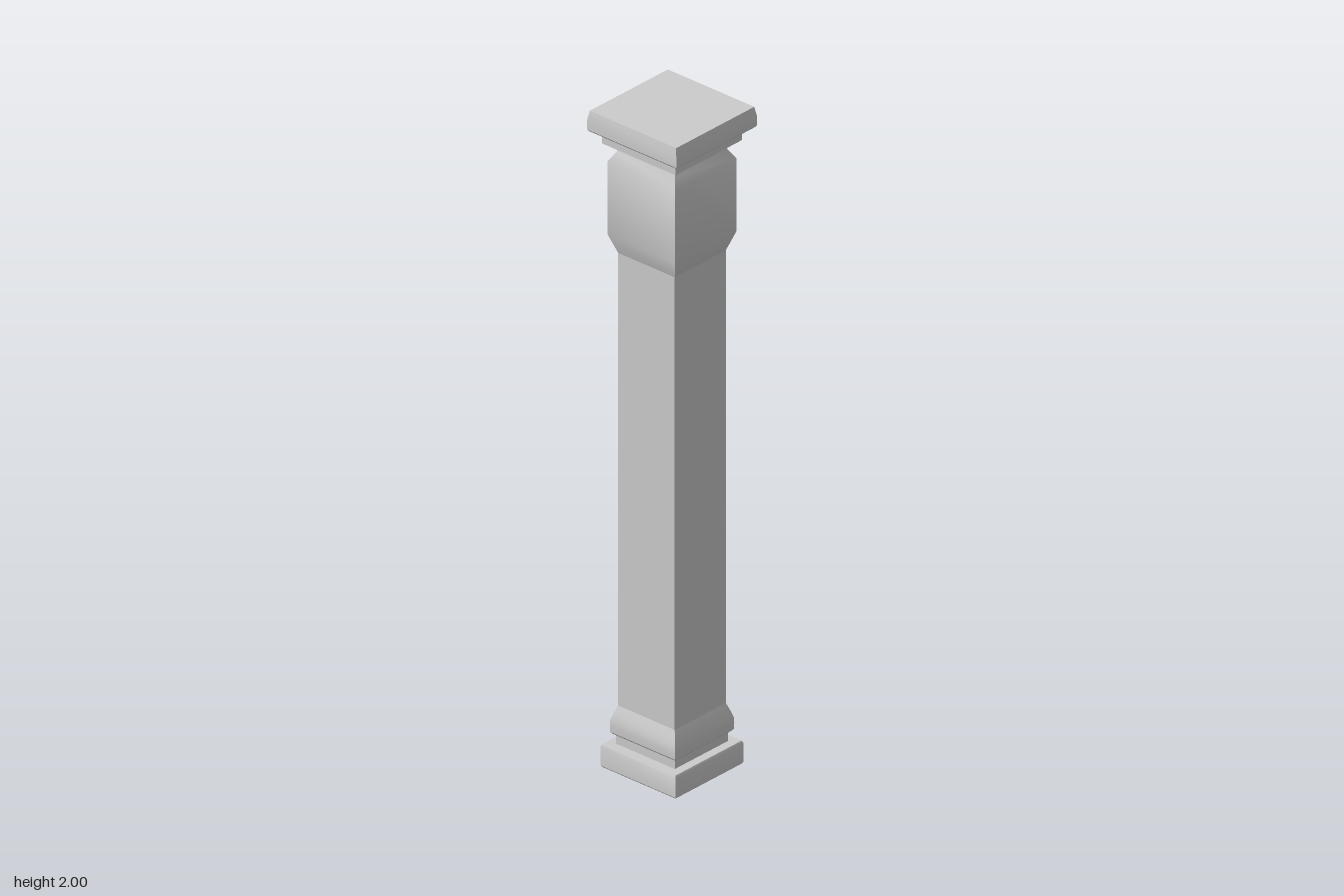
import * as THREE from 'three';
import { toCreasedNormals } from 'three/addons/utils/BufferGeometryUtils.js';

const material = new THREE.MeshStandardMaterial({ color: 0xcccccc });

// Sweeps a [half width, height] profile around a square plan, closed at both ends.
function squareProfile(name, profile) {
  const closed = [[0, profile[0][1]], ...profile, [0, profile[profile.length - 1][1]]];
  const points = closed.map(([w, y]) => new THREE.Vector2(w * Math.SQRT2, y));
  const geometry = new THREE.LatheGeometry(points, 4, Math.PI / 4);
  const mesh = new THREE.Mesh(toCreasedNormals(geometry, 0.6), material);
  mesh.name = name;
  return mesh;
}

export function createModel() {
  const column = new THREE.Group();
  column.name = 'column';
  column.add(
    // Foot block with slightly eased edges
    squareProfile('plinth', [[0.132, 0], [0.135, 0.004], [0.135, 0.064], [0.132, 0.07]]),
    // Recessed band between the foot and the moulding
    squareProfile('baseNeck', [[0.106, 0.07], [0.106, 0.105]]),
    // Bulging moulding that tapers into the shaft
    squareProfile('baseMoulding', [
      [0.112, 0.1], [0.117, 0.106], [0.118, 0.125], [0.117, 0.142], [0.111, 0.162], [0.105, 0.178], [0.102, 0.186],
    ]),
    // Plain square shaft
    squareProfile('shaft', [[0.102, 0.18], [0.102, 1.57]]),
    // Wider block below the capital
    squareProfile('upperBlock', [
      [0.102, 1.565], [0.122, 1.622], [0.122, 1.845], [0.105, 1.873], [0.102, 1.885],
    ]),
    // Stepped moulding beneath the cap
    squareProfile('capitalMoulding', [
      [0.102, 1.88], [0.112, 1.888], [0.118, 1.897], [0.133, 1.9], [0.133, 1.94],
    ]),
    // Cap slab, narrowing a little towards the top
    squareProfile('cap', [[0.157, 1.938], [0.161, 1.943], [0.161, 1.972], [0.157, 1.994], [0.156, 2]]),
  );
  return column;
}
